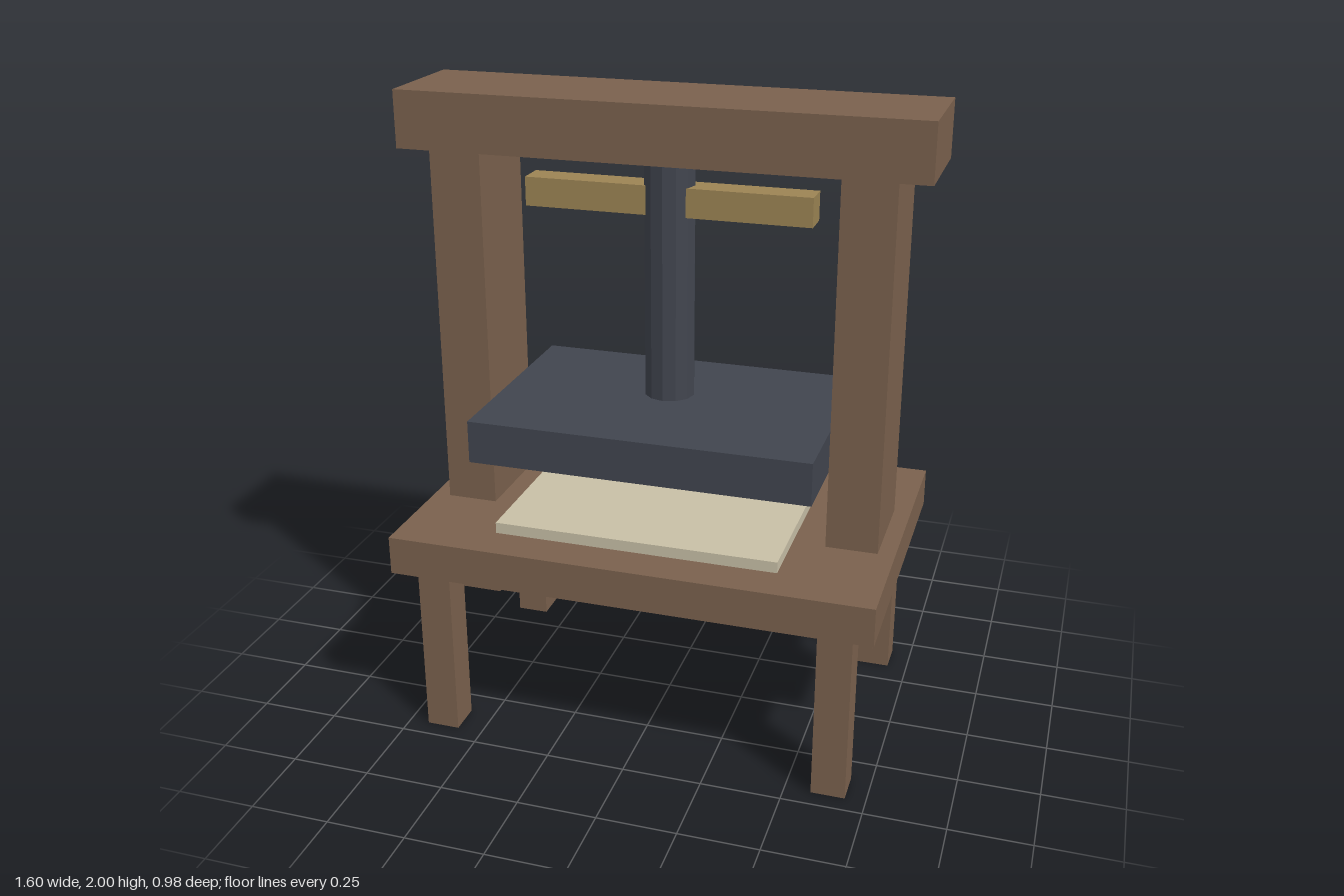
import * as THREE from 'three';

export function createModel() {
  const model = new THREE.Group();
  model.name = 'screwPress';

  const material = (name, color) => {
    const m = new THREE.MeshStandardMaterial({ color });
    m.name = name;
    return m;
  };
  const wood = material('wood', 0x7a614d);
  const iron = material('iron', 0x41454f);
  const brass = material('brass', 0x9c8454);
  const paper = material('paper', 0xc8bfa6);

  const add = (name, geometry, mat, x, y, z) => {
    const mesh = new THREE.Mesh(geometry, mat);
    mesh.name = name;
    mesh.position.set(x, y, z);
    model.add(mesh);
    return mesh;
  };
  // Box of width w and depth d, centred on x and z, spanning y0 to y1
  const box = (name, mat, w, d, y0, y1, x = 0, z = 0) =>
    add(name, new THREE.BoxGeometry(w, y1 - y0, d), mat, x, (y0 + y1) / 2, z);

  // Frame: head beam, bed, two uprights passing through the bed, four legs
  box('headBeam', wood, 1.595, 0.355, 1.825, 2);
  box('bed', wood, 1.508, 0.98, 0.565, 0.687);
  for (const sx of [-1, 1]) {
    const side = sx > 0 ? 'left' : 'right';
    box(side + 'Upright', wood, 0.16, 0.312, 0.357, 1.826, sx * 0.621);
    for (const sz of [-1, 1]) {
      const end = sz > 0 ? 'Front' : 'Back';
      box(side + end + 'Leg', wood, 0.105, 0.105, 0, 0.566, sx * 0.634, sz * 0.391);
    }
  }

  // Pressing parts: platen, screw with its turning bar, sheet stack
  box('platen', iron, 1.064, 0.71, 0.913, 1.047);
  const screw = new THREE.CylinderGeometry(0.078, 0.078, 0.76, 12).toNonIndexed();
  screw.computeVertexNormals();
  add('screw', screw, iron, 0, 1.45, 0);
  box('turningBar', brass, 0.887, 0.089, 1.645, 1.734);
  box('paperStack', paper, 0.887, 0.58, 0.696, 0.731, 0, 0.089);

  return model;
}
